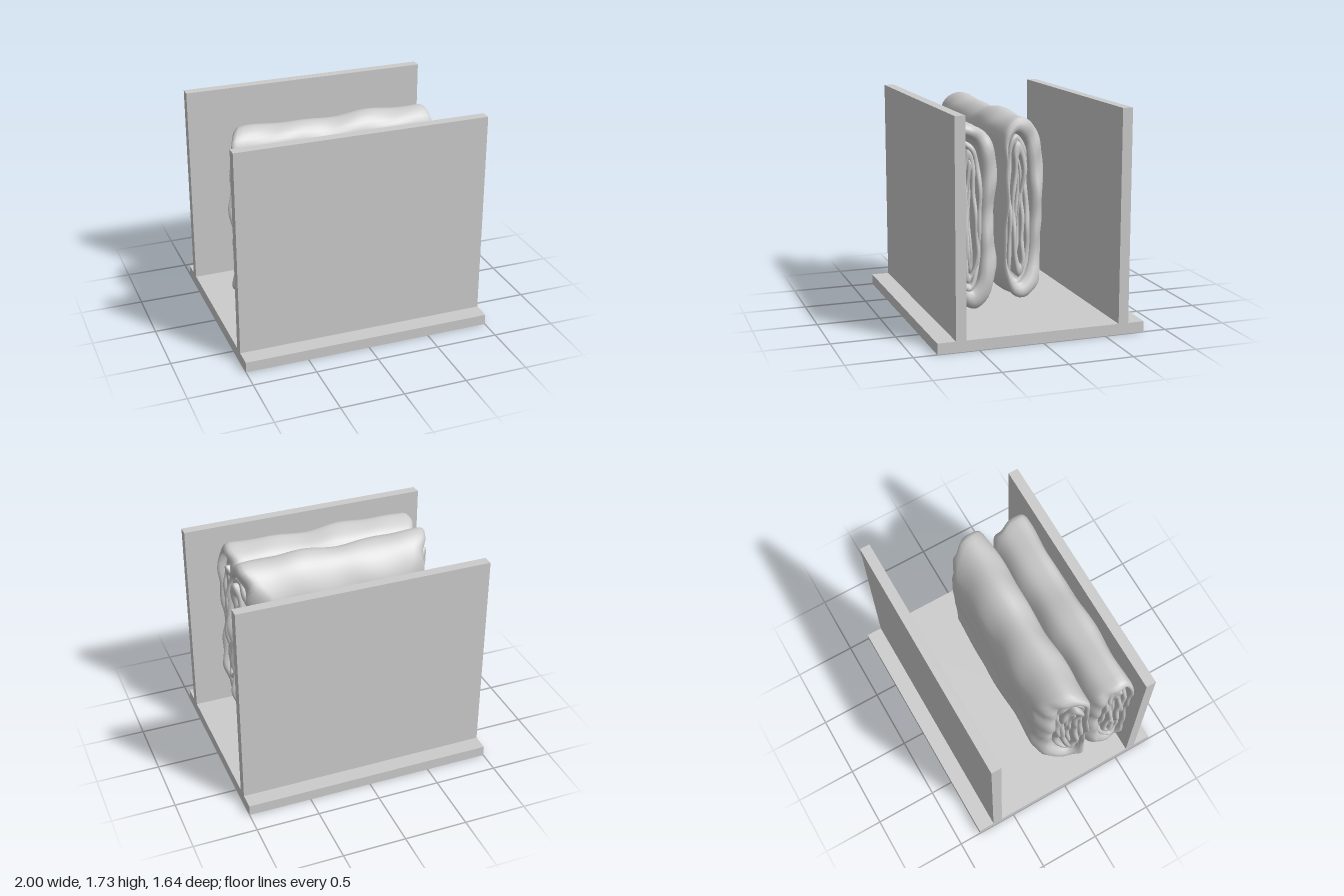
import * as THREE from 'three';

const material = new THREE.MeshStandardMaterial({ color: 0xcccccc, side: THREE.DoubleSide });
const lerp = THREE.MathUtils.lerp;

function board(name, w, h, d, y, z) {
  const mesh = new THREE.Mesh(new THREE.BoxGeometry(w, h, d), material);
  mesh.name = name;
  mesh.position.set(0, y, z);
  return mesh;
}

// Piecewise linear lookup through [key, value] pairs
function lookup(table, k) {
  if (k <= table[0][0]) return table[0][1];
  for (let i = 1; i < table.length; i++) {
    const [k0, v0] = table[i - 1], [k1, v1] = table[i];
    if (k <= k1) return lerp(v0, v1, (k - k0) / (k1 - k0));
  }
  return table[table.length - 1][1];
}

// Maps an outline point (-1..1) into a box [z0, z1, y0, y1]
const inBox = (p, b) => [
  lerp(b[0], b[1], (p.x + 1) / 2),
  lerp(b[2], b[3], (p.y + 1) / 2),
];

// One cloth layer: a thick band wrapped round the outline, with rolled hems at both ends
function clothLayer(outline, layer, ends, seed) {
  const { outer, inner, hem, recess, wave } = layer;
  const U = 96, N = 36, C = 5;

  // Closed path across the band: [position along x, hem bulge, thickness]
  const path = [];
  for (let i = 0; i <= N; i++) path.push([i / N, 0, 1]);
  for (let j = 1; j < C; j++) {
    const a = (Math.PI * j) / C;
    path.push([1, Math.sin(a), 0.5 + 0.5 * Math.cos(a)]);
  }
  for (let i = N; i >= 0; i--) path.push([i / N, 0, 0]);
  for (let j = 1; j < C; j++) {
    const a = (Math.PI * j) / C;
    path.push([0, -Math.sin(a), 0.5 - 0.5 * Math.cos(a)]);
  }

  const V = path.length, positions = [], index = [];
  for (let u = 0; u < U; u++) {
    const [zo, yo] = inBox(outline[u], outer);
    const [zi, yi] = inBox(outline[u], inner);
    for (const [s, bulge, t] of path) {
      let z = lerp(zi, zo, t), y = lerp(yi, yo, t);
      // Ends lean with depth and wander with height
      const wander = 0.014 * Math.sin(y * 8 + seed) + 0.009 * Math.sin(y * 19 + z * 25 + seed * 2);
      const x0 = lookup(ends.left, z) + recess + hem + wander;
      const x1 = lookup(ends.right, z) - recess - hem - wander;
      const x = lerp(x0, x1, s) + bulge * hem;
      // Soft creases, kept inside the outer envelope
      const crease = 0.5 + 0.3 * Math.sin(x * 7 + y * 4 + seed) + 0.2 * Math.sin(x * 13 - y * 11 + z * 9 + seed * 3);
      const nz = outline[u].x, ny = outline[u].y;
      z -= nz * 0.018 * crease;
      y -= ny * 0.035 * crease;
      z += wave * (Math.sin(y * 7 + x * 3 + seed) + 0.5 * Math.sin(y * 17 - x * 5 + seed));
      positions.push(x, y, z);
    }
  }
  for (let u = 0; u < U; u++) {
    for (let v = 0; v < V; v++) {
      const u1 = (u + 1) % U, v1 = (v + 1) % V;
      const a = u * V + v, b = u * V + v1, c = u1 * V + v1, d = u1 * V + v;
      index.push(a, b, c, a, c, d);
    }
  }
  const geometry = new THREE.BufferGeometry();
  geometry.setAttribute('position', new THREE.Float32BufferAttribute(positions, 3));
  geometry.setIndex(index);
  geometry.computeVertexNormals();
  return new THREE.Mesh(geometry, material);
}

// A folded cloth: an outer wrap with narrower folds nested inside it
function foldedCloth(name, points, layers, ends, seed) {
  const group = new THREE.Group();
  group.name = name;
  const curve = new THREE.CatmullRomCurve3(points.map(([z, y]) => new THREE.Vector3(z, y * 4, 0)), true);
  const outline = curve.getSpacedPoints(96).map((p) => new THREE.Vector2(p.x, p.y / 4));
  layers.forEach((layer, i) => {
    const mesh = clothLayer(outline, layer, ends, seed + i * 1.7);
    mesh.name = i === 0 ? 'outerWrap' : 'innerFold' + i;
    group.add(mesh);
  });
  return group;
}

export function createModel() {
  const group = new THREE.Group();
  group.name = 'clothRack';

  // Base and the two upright boards
  group.add(board('base', 2, 0.085, 1.64, 0.0425, 0));
  group.add(board('frontBoard', 2, 1.645, 0.08, 0.9075, 0.638));
  group.add(board('backBoard', 2, 1.645, 0.08, 0.9075, -0.65));

  // Front cloth; outlines are (z, y) in -1..1
  group.add(foldedCloth('frontCloth', [
    [1, 0], [0.98, 0.5], [0.93, 0.86], [0.6, 1], [0.1, 0.98], [-0.45, 0.9], [-0.88, 0.68],
    [-0.98, 0.25], [-0.92, -0.2], [-1, -0.6], [-0.65, -0.87], [0, -1], [0.5, -0.96], [0.9, -0.8], [1, -0.45],
  ], [
    { outer: [0.225, 0.6, 0.2, 1.63], inner: [0.36, 0.565, 0.35, 1.54], hem: 0.045, recess: 0, wave: 0.002 },
    { outer: [0.365, 0.57, 0.34, 1.52], inner: [0.405, 0.535, 0.39, 1.46], hem: 0.02, recess: 0.025, wave: 0.006 },
    { outer: [0.4, 0.535, 0.4, 1.46], inner: [0.435, 0.5, 0.47, 1.36], hem: 0.02, recess: 0.01, wave: 0.008 },
    { outer: [0.435, 0.51, 0.48, 1.38], inner: [0.466, 0.474, 0.58, 1.3], hem: 0.02, recess: 0.04, wave: 0.008 },
  ], {
    left: [[0.23, -0.76], [0.3, -0.87], [0.58, -0.9]],
    right: [[0.23, 0.64], [0.3, 0.7], [0.58, 0.74]],
  }, 0.6));

  // Back cloth
  group.add(foldedCloth('backCloth', [
    [0.98, 0.1], [0.95, 0.5], [1, 0.84], [0.65, 0.96], [0.2, 1], [-0.35, 0.92], [-0.92, 0.66],
    [-1, 0.25], [-0.97, -0.2], [-1, -0.52], [-0.85, -0.75], [-0.4, -0.93], [0.1, -1], [0.6, -0.95], [0.95, -0.74], [1, -0.3],
  ], [
    { outer: [-0.155, 0.235, 0.25, 1.68], inner: [-0.01, 0.2, 0.38, 1.57], hem: 0.05, recess: 0, wave: 0.002 },
    { outer: [-0.005, 0.205, 0.37, 1.55], inner: [0.04, 0.17, 0.43, 1.49], hem: 0.02, recess: 0.03, wave: 0.006 },
    { outer: [0.035, 0.17, 0.44, 1.49], inner: [0.07, 0.135, 0.53, 1.39], hem: 0.02, recess: 0.01, wave: 0.009 },
    { outer: [0.07, 0.14, 0.54, 1.4], inner: [0.1, 0.108, 0.64, 1.32], hem: 0.02, recess: 0.045, wave: 0.009 },
  ], {
    left: [[-0.14, -0.69], [-0.09, -0.76], [0.06, -0.82], [0.21, -0.9]],
    right: [[-0.14, 0.61], [-0.08, 0.71], [0.05, 0.75], [0.21, 0.79]],
  }, 2.3));

  return group;
}
